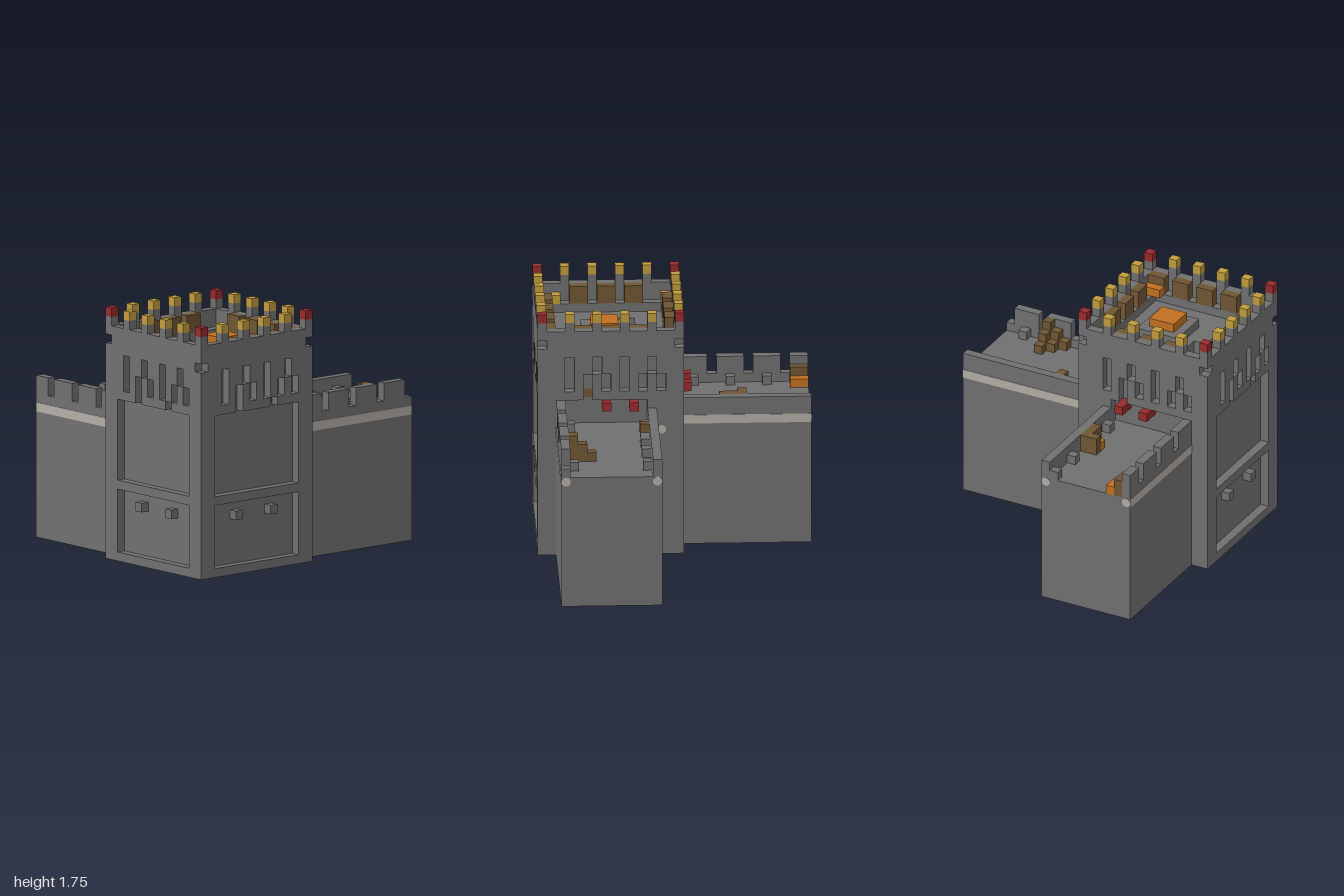
import * as THREE from 'three';

const mat = (name, color) => {
  const m = new THREE.MeshStandardMaterial({ color });
  m.name = name;
  return m;
};

export function createModel() {
  const stone = mat('stone grey', 0x707070);
  const gold = mat('gold', 0xc19c3e);
  const red = mat('red', 0x982a2c);
  const brown = mat('wood brown', 0x6f5633);
  const orange = mat('orange', 0xc27020);
  const trim = mat('pale trim', 0xb4ada6);

  // All sizes below are in blocks; 16 blocks make one unit.
  const root = new THREE.Group();
  root.name = 'castleCorner';
  root.scale.setScalar(1 / 16);

  const box = (parent, name, material, x0, x1, y0, y1, z0, z1) => {
    const mesh = new THREE.Mesh(new THREE.BoxGeometry(x1 - x0, y1 - y0, z1 - z0), material);
    mesh.position.set((x0 + x1) / 2, (y0 + y1) / 2, (z0 + z1) / 2);
    mesh.name = name;
    parent.add(mesh);
    return mesh;
  };
  const group = (name, x = 0, z = 0) => {
    const g = new THREE.Group();
    g.name = name;
    g.position.set(x, 0, z);
    root.add(g);
    return g;
  };

  // ---- Tower: solid core, roof slab with stair pit, ledge and platform
  const tower = group('tower');
  box(tower, 'core', stone, -15, -1, 0, 20, 0, 14);
  box(tower, 'roofSlab', stone, -15, -12, 20, 23, 0, 14);
  box(tower, 'roofSlab', stone, -10, -1, 20, 23, 0, 14);
  box(tower, 'roofSlab', stone, -12, -10, 20, 23, 0, 4);
  box(tower, 'roofSlab', stone, -12, -10, 20, 23, 7, 14);
  for (let i = 0; i < 2; i++) box(tower, 'stairStep', stone, -12, -10, 20, 22 - i, 4 + i, 5 + i);
  box(tower, 'ledge', stone, -15, -14, 23, 24, 0, 14);
  box(tower, 'ledge', stone, -2, -1, 23, 24, 0, 14);
  box(tower, 'ledge', stone, -14, -2, 23, 24, 0, 1);
  box(tower, 'ledge', stone, -14, -2, 23, 24, 13, 14);
  box(tower, 'platform', stone, -9, -4, 23, 24, 5, 10);
  box(tower, 'platformCover', orange, -8, -5, 24, 25, 6, 9);
  box(tower, 'cornerCrate', orange, -3, -1, 24, 25, 12, 13);
  box(tower, 'cornerBlock', gold, -15, -14, 24, 25, 0, 1);
  box(tower, 'cornerBlock', gold, -15, -14, 24, 25, 12, 13);

  // ---- Tower walls: the same one-block facing turned to each side.
  // Sides: 0 front, 1 left (+x), 2 back, 3 right (-x); u runs from the viewer's left.
  const within = (n, a, b) => n >= a && n <= b;
  const isOpen = (side, u, v) => {
    if (u === 0) return v === (side === 0 ? 23 : 24);
    if (u === 15) return v === (side === 3 ? 23 : 24);
    if (within(v, 19, 22) && (u === 3 || u === 9)) return true; // tall slots
    if (within(v, 21, 22) && (u === 6 || u === 12)) return true; // upper slots
    if (within(v, 19, 20) && [5, 7, 11, 13].includes(u)) return true; // lower slots
    const plain = side === 0 || side === 3;
    if (v === 18) return u === 5 || (u === 10 && plain);
    if (!plain) return within(v, 15, 17) && (side === 1 ? within(u, 2, 11) : within(u, 4, 13));
    if (v === 6 && (u === 5 || u === 10)) return false; // brackets
    return within(u, 2, 13) && (within(v, 1, 7) || within(v, 9, 17));
  };
  ['front', 'left', 'back', 'right'].forEach((label, side) => {
    const wall = group(label + 'TowerWall', -8, 7);
    wall.rotation.y = (side * Math.PI) / 2;
    // Stack rows, merging equal ones, and fill each solid run.
    const row = (v) => Array.from({ length: 16 }, (_, u) => (isOpen(side, u, v) ? '.' : '#')).join('');
    for (let v = 0; v < 26; ) {
      const r = row(v);
      let top = v + 1;
      while (top < 26 && row(top) === r) top++;
      for (const run of r.matchAll(/#+/g)) {
        box(wall, 'masonry', stone, run.index - 8, run.index + run[0].length - 8, v, top, 7, 8);
      }
      v = top;
    }
    // Merlons, with a red cap on the corner and gold caps between
    for (const u of [0, 3, 6, 9, 12]) {
      box(wall, 'merlon', stone, u - 8, u - 7, 26, 27, 7, 8);
      box(wall, 'merlonCap', u ? gold : red, u - 8, u - 7, 27, 28, 7, 8);
    }
    // Wooden blocks behind the parapet
    for (const u of side === 0 ? [4, 7, 10, 13] : [4, 7, 10]) {
      box(wall, 'parapetCrate', brown, u - 8, u - 6, 24, 26, 6, 7);
    }
    // Wood at the back of one small opening
    if (side < 2) {
      const u = side ? 5 : 10;
      box(wall, 'woodInfill', brown, u - 8, u - 7, 18, 19, 7, 7.1);
    }
  });

  // ---- Wings
  const stoneBlocks = (g, list) => list.forEach(([x, z]) => box(g, 'deckBlock', stone, x, x + 1, 15, 16, z, z + 1));

  // Pale plate with clipped corners, facing +z until turned
  const clippedPlate = (parent, w, x, z, turn) => {
    const a = w / 2, c = 0.3;
    const pts = [[-a + c, -0.5], [a - c, -0.5], [a, -0.5 + c], [a, 0.5 - c],
      [a - c, 0.5], [-a + c, 0.5], [-a, 0.5 - c], [-a, -0.5 + c]];
    const shape = new THREE.Shape(pts.map((p) => new THREE.Vector2(...p)));
    const mesh = new THREE.Mesh(new THREE.ExtrudeGeometry(shape, { depth: 0.05, bevelEnabled: false }), trim);
    mesh.position.set(x, 14.5, z);
    mesh.rotation.y = turn;
    mesh.name = 'trimEnd';
    parent.add(mesh);
  };

  // Side wing, along +x
  const east = group('sideWing');
  box(east, 'wingBody', stone, 0, 16, 0, 15, 2, 13);
  box(east, 'innerParapet', stone, 0, 16, 15, 17, 2, 3);
  box(east, 'outerParapet', stone, 0, 16, 15, 16, 12, 13);
  for (let x = 0; x < 16; x += 4) box(east, 'wingMerlon', stone, x, x + 3, 16, 18, 12, 13);
  box(east, 'trimBand', trim, 0, 16, 14, 15, 12.95, 13.05);
  box(east, 'trimBand', trim, 0, 16, 14, 15, 1.95, 2.05);
  clippedPlate(east, 1, 16, 12.5, Math.PI / 2);
  clippedPlate(east, 1, 16, 2.5, Math.PI / 2);
  clippedPlate(east, 1, 0, 1.5, Math.PI / 2);
  stoneBlocks(east, [[1, 11], [5, 11], [13, 11], [1, 3], [5, 3], [6, 3], [9, 3], [13, 3]]);
  box(east, 'woodPost', brown, 4, 5, 15, 17, 3, 4);
  // Stepped wood pile
  box(east, 'woodPile', brown, 8, 11, 15, 16, 11, 12);
  box(east, 'woodPile', brown, 9, 11, 16, 17, 11, 12);
  box(east, 'woodPile', brown, 10, 11, 17, 18, 11, 12);
  box(east, 'woodPile', brown, 9, 11, 15, 16, 10, 11);
  box(east, 'woodPile', brown, 10, 11, 16, 17, 10, 11);
  box(east, 'woodPile', brown, 10, 11, 15, 16, 9, 10);
  for (const z of [4, 7]) box(east, 'redBlock', red, -1, 1, 17, 18, z, z + 1);

  // Rear wing, along -z
  const rear = group('rearWing');
  box(rear, 'wingBody', stone, -14, -3, 0, 15, -15, -1);
  box(rear, 'innerParapet', stone, -4, -3, 15, 17, -15, -1);
  box(rear, 'outerParapet', stone, -14, -13, 15, 16, -15, -1);
  for (let z = -1; z > -15; z -= 4) {
    box(rear, 'wingMerlon', stone, -14, -13, 16, 18, Math.max(z - 3, -15), z);
  }
  box(rear, 'trimBand', trim, -14.05, -13.95, 14, 15, -15, -1);
  box(rear, 'trimBand', trim, -3.05, -2.95, 14, 15, -15, -1);
  clippedPlate(rear, 1, -13.5, -15, Math.PI);
  clippedPlate(rear, 1, -3.5, -15, Math.PI);
  clippedPlate(rear, 1, -2.5, -1, Math.PI);
  stoneBlocks(rear, [[-13, -11], [-13, -7], [-13, -3], [-5, -15], [-5, -11], [-5, -3]]);
  box(rear, 'woodCrate', brown, -13, -12, 15, 17, -15, -13);
  box(rear, 'orangeCrate', orange, -12, -11, 15, 16, -15, -13);
  box(rear, 'woodCrate', brown, -6, -4, 15, 17, -8, -7);
  box(rear, 'woodCrate', brown, -5, -4, 15, 17, -7, -5);
  box(rear, 'orangeCrate', orange, -6, -5, 15, 16, -7, -6);
  for (const x of [-9, -6]) box(rear, 'redBlock', red, x, x + 1, 17, 18, -2, 0);

  return root;
}
